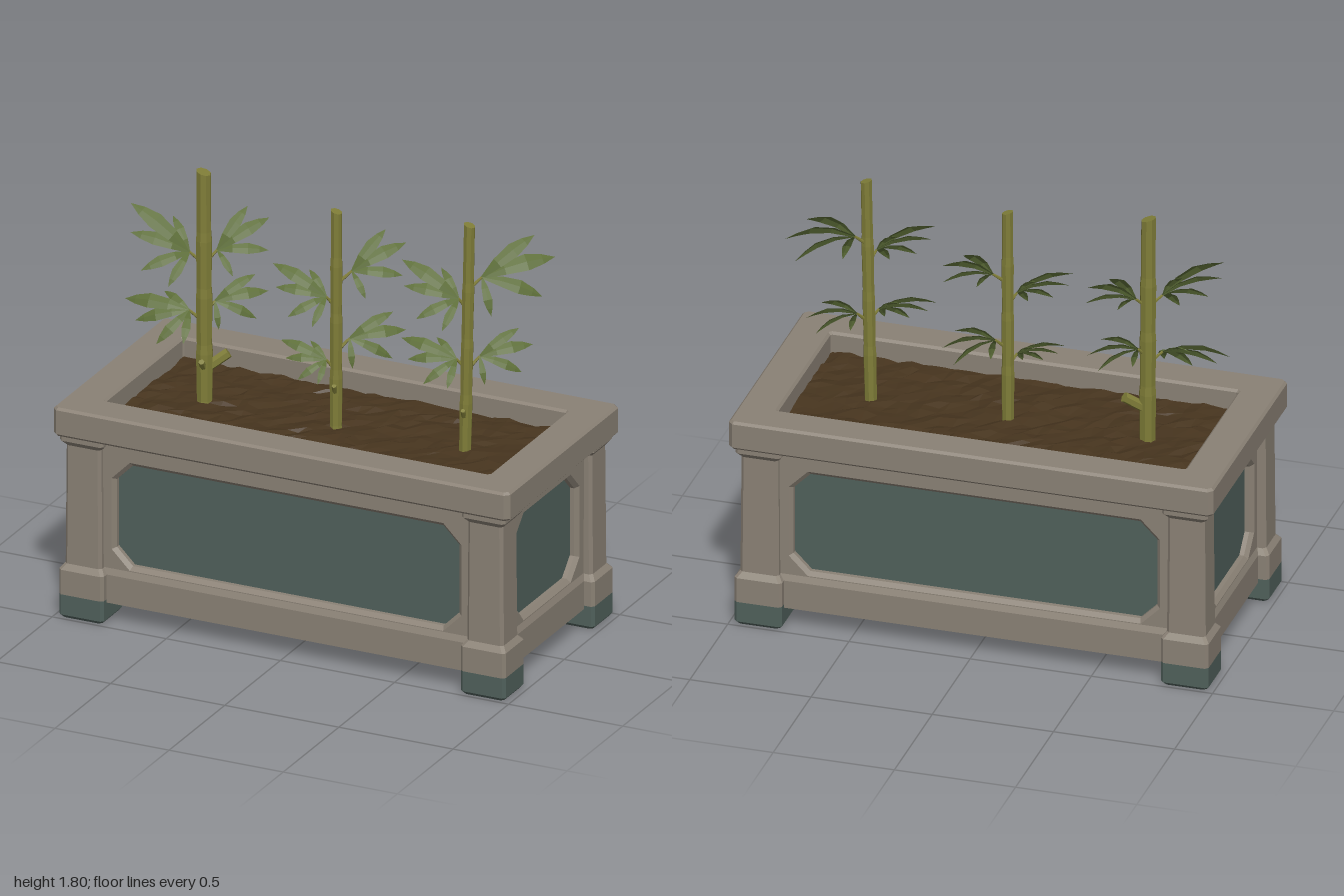
import * as THREE from 'three';
import { mergeGeometries } from 'three/addons/utils/BufferGeometryUtils.js';

const mat = (name, color, double = false) => {
  const m = new THREE.MeshStandardMaterial({ color, flatShading: true, side: double ? THREE.DoubleSide : THREE.FrontSide });
  m.name = name;
  return m;
};
const V = (x, y, z) => new THREE.Vector3(x, y, z);

function add(parent, name, geometry, material, x = 0, y = 0, z = 0) {
  const mesh = new THREE.Mesh(geometry, material);
  mesh.name = name;
  mesh.position.set(x, y, z);
  parent.add(mesh);
  return mesh;
}

function fromPoints(points) {
  const g = new THREE.BufferGeometry().setFromPoints(points);
  g.computeVertexNormals();
  return g;
}

// Stacked rectangles with chamfered corners; each section is [y, halfX, halfZ]
function stack(sections, c = 0.012) {
  const rings = sections.map(([y, a, b]) => [
    [a, -b + c], [a, b - c], [a - c, b], [-a + c, b],
    [-a, b - c], [-a, -b + c], [-a + c, -b], [a - c, -b],
  ].map(([x, z]) => V(x, y, z)));
  const pts = [];
  const last = rings.length - 1;
  for (let i = 0; i < 8; i++) {
    const j = (i + 1) % 8;
    for (let k = 0; k < last; k++) {
      const p = rings[k], q = rings[k + 1];
      pts.push(p[i], q[i], p[j], p[j], q[i], q[j]);
    }
    pts.push(V(0, sections[0][0], 0), rings[0][i], rings[0][j]);
    pts.push(V(0, sections[last][0], 0), rings[last][j], rings[last][i]);
  }
  return fromPoints(pts);
}

// Rectangle outline with cut corners
function outline(path, x, y0, y1, c) {
  [[-x + c, y0], [x - c, y0], [x, y0 + c], [x, y1 - c], [x - c, y1], [-x + c, y1], [-x, y1 - c], [-x, y0 + c]]
    .forEach(([px, py], i) => (i ? path.lineTo(px, py) : path.moveTo(px, py)));
  path.closePath();
  return path;
}

// Bevelled plate with a cut-cornered opening; outer and hole are [x, y0, y1, cut]
function frame(outer, hole, depth, bevel) {
  const shape = outline(new THREE.Shape(), ...outer);
  shape.holes.push(outline(new THREE.Path(), ...hole));
  const g = new THREE.ExtrudeGeometry(shape, {
    depth: depth - 2 * bevel, bevelEnabled: true, bevelThickness: bevel,
    bevelSize: bevel, bevelOffset: -bevel, bevelSegments: 1,
  });
  return g.translate(0, 0, bevel);
}

// Tapered rod between two points
function rod(a, b, r0, r1) {
  const d = b.clone().sub(a);
  const g = new THREE.CylinderGeometry(r1, r0, d.length(), 6);
  g.applyQuaternion(new THREE.Quaternion().setFromUnitVectors(V(0, 1, 0), d.normalize()));
  const m = a.clone().add(b).multiplyScalar(0.5);
  return g.translate(m.x, m.y, m.z);
}

// Arched leaf with a folded midrib
function leaf(base, tip) {
  const dir = tip.clone().sub(base), len = dir.length();
  dir.normalize();
  const side = V(0.35, 0.65, 0.65).cross(dir).normalize();
  const up = dir.clone().cross(side).normalize();
  const rows = [[0, 0.02], [0.3, 0.085], [0.6, 0.115], [0.82, 0.07], [1, 0]].map(([t, w]) => {
    const mid = base.clone().lerp(tip, t).addScaledVector(up, Math.sin(Math.PI * t) * 0.14 * len);
    const edge = (s) => mid.clone().addScaledVector(side, s * w * len).addScaledVector(up, -0.25 * w * len);
    return [edge(-1), mid, edge(1)];
  });
  const pts = [];
  for (let i = 0; i < rows.length - 1; i++) {
    for (let j = 0; j < 2; j++) {
      const a = rows[i][j], b = rows[i][j + 1], c = rows[i + 1][j], d = rows[i + 1][j + 1];
      pts.push(a, b, c, b, d, c);
    }
  }
  return fromPoints(pts);
}

// Gently noded stalk with a slanted cut top
function stalk(height, radius, lean) {
  const pts = [];
  for (let y = 0; y < height - 0.1; y += 0.24) {
    const r = radius * (1 - 0.1 * y / height);
    pts.push(new THREE.Vector2(r * 1.06, y), new THREE.Vector2(r * 0.96, y + 0.04));
  }
  pts.push(new THREE.Vector2(radius * 0.88, height - 0.008), new THREE.Vector2(0, height - 0.008));
  const g = new THREE.LatheGeometry(pts, 8);
  const p = g.attributes.position;
  for (let i = 0; i < p.count; i++) {
    const y = p.getY(i), x = p.getX(i);
    if (y > height - 0.02) p.setY(i, y - x * 0.3);
    p.setX(i, x + lean * y / height);
  }
  g.computeVertexNormals();
  return g;
}

// Leaf tips of the two kinds of fan, measured from the end of the twig
const rightFan = [[-0.24, 0.14, 0.02], [-0.21, 0.05, 0.07], [-0.13, -0.06, 0.13], [-0.02, -0.1, 0.12], [-0.1, 0.1, -0.05]];
const leftFan = [[0.08, 0.14, -0.14], [0.16, 0.09, -0.16], [0.18, -0.02, -0.09], [0.08, -0.09, 0.04]];

// Each fan is [x, y, size, tilt]; those at x below the stem use rightFan
const plants = [
  { x: -0.575, top: 1.8, r: 0.034, lean: -0.005,
    fans: [[-0.63, 1.45, 1.08, -0.08], [-0.54, 1.45, 1, 0.1], [-0.63, 1.2, 0.98, 0.5], [-0.55, 1.23, 0.9, -0.4]] },
  { x: 0, top: 1.74, r: 0.026, lean: 0.002,
    fans: [[-0.03, 1.37, 0.9, 0.08], [0.05, 1.47, 1, 0], [-0.03, 1.1, 0.72, 0.25], [0.04, 1.18, 0.95, -0.45]] },
  { x: 0.565, top: 1.79, r: 0.026, lean: 0.02,
    fans: [[0.55, 1.47, 0.98, 0.03], [0.62, 1.55, 1.25, -0.28], [0.54, 1.21, 0.86, 0.3], [0.61, 1.21, 0.9, -0.35]] },
];

export function createModel() {
  const model = new THREE.Group();
  model.name = 'bambooPlanter';
  const stone = mat('stone', 0x8a8175);
  const teal = mat('tealMetal', 0x50605b);
  const soil = mat('soil', 0x46341e);
  const cane = mat('bambooCane', 0x7f7d38);
  const green = mat('leafGreen', 0x5d6e38, true);

  // Planter body: recessed core, framed walls and lower rails
  add(model, 'innerPanels', new THREE.BoxGeometry(1.78, 0.63, 0.82), teal, 0, 0.445, 0);
  for (const k of [1, -1]) {
    const turn = k > 0 ? 0 : Math.PI;
    const long = add(model, k > 0 ? 'frontFrame' : 'backFrame',
      frame([0.9, 0.085, 0.83, 0.04], [0.75, 0.25, 0.68, 0.07], 0.06, 0.016), stone, 0, 0, k * 0.385);
    long.rotation.y = turn;
    const short = add(model, k > 0 ? 'leftFrame' : 'rightFrame',
      frame([0.42, 0.085, 0.83, 0.04], [0.275, 0.25, 0.68, 0.07], 0.06, 0.016), stone, k * 0.865, 0, 0);
    short.rotation.y = turn + Math.PI / 2;
    add(model, 'longRail', stack([[0.085, 0.84, 0.028], [0.205, 0.84, 0.028], [0.235, 0.84, 0.015]], 0.002), stone, 0, 0, k * 0.428);
    add(model, 'shortRail', stack([[0.085, 0.028, 0.36], [0.205, 0.028, 0.36], [0.235, 0.015, 0.36]], 0.002), stone, k * 0.908, 0, 0);
  }

  // Corner feet and pillars
  for (const sx of [-1, 1]) for (const sz of [-1, 1]) {
    const corner = new THREE.Group();
    corner.name = 'cornerPost';
    corner.position.set(sx * 0.88, 0, sz * 0.4);
    add(corner, 'foot', stack([[0, 0.086, 0.08], [0.014, 0.098, 0.092], [0.1, 0.098, 0.092]]), teal);
    add(corner, 'plinth', stack([[0.1, 0.098, 0.092], [0.205, 0.098, 0.092], [0.228, 0.08, 0.072]]), stone);
    add(corner, 'pillar', stack([[0.22, 0.08, 0.072], [0.74, 0.076, 0.07]]), stone);
    add(corner, 'capital', stack([[0.735, 0.077, 0.071], [0.757, 0.095, 0.09], [0.785, 0.095, 0.09]]), stone);
    model.add(corner);
  }

  // Rim
  const rim = frame([1, -0.505, 0.505, 0.02], [0.84, -0.35, 0.35, 0.006], 0.122, 0.01);
  add(model, 'rim', rim.rotateX(-Math.PI / 2), stone, 0, 0.778, 0);

  // Lumpy soil
  let seed = 7;
  const random = () => (seed = (seed * 16807) % 2147483647) / 2147483647;
  const ground = new THREE.PlaneGeometry(1.7, 0.72, 34, 15).rotateX(-Math.PI / 2);
  const gp = ground.attributes.position;
  for (let i = 0; i < gp.count; i++) {
    gp.setXYZ(i, gp.getX(i) + (random() - 0.5) * 0.03, (random() - 0.5) * 0.018, gp.getZ(i) + (random() - 0.5) * 0.03);
  }
  ground.computeVertexNormals();
  add(model, 'soil', ground, soil, 0, 0.815, 0);

  // Bamboo plants
  for (const { x, top, r, lean, fans } of plants) {
    const plant = new THREE.Group();
    plant.name = 'bambooPlant';
    add(plant, 'stalk', stalk(top - 0.78, r, lean), cane, x, 0.78, 0);
    for (const [fx, fy, size, tilt] of fans) {
      const isRight = fx < x;
      const base = V(fx, fy, isRight ? 0.025 : -0.04);
      const leaves = (isRight ? rightFan : leftFan).map((t) =>
        leaf(base, V(...t).multiplyScalar(size).applyAxisAngle(V(0, 0, 1), tilt).add(base)));
      add(plant, 'twig', rod(V(x + lean / 2, fy - 0.05, 0), base, 0.009, 0.005), cane);
      add(plant, 'leafFan', mergeGeometries(leaves), green);
    }
    // Cut shoots near the base
    add(plant, 'frontShoot', rod(V(x, 0.94, 0), V(x + 0.01, 1.0, 1.5 * r), 0.42 * r, 0.36 * r), cane);
    if (r > 0.03) add(plant, 'sideShoot', rod(V(x, 0.95, 0), V(x + 0.08, 1.015, -0.05), 0.022, 0.022), cane);
    model.add(plant);
  }
  return model;
}
